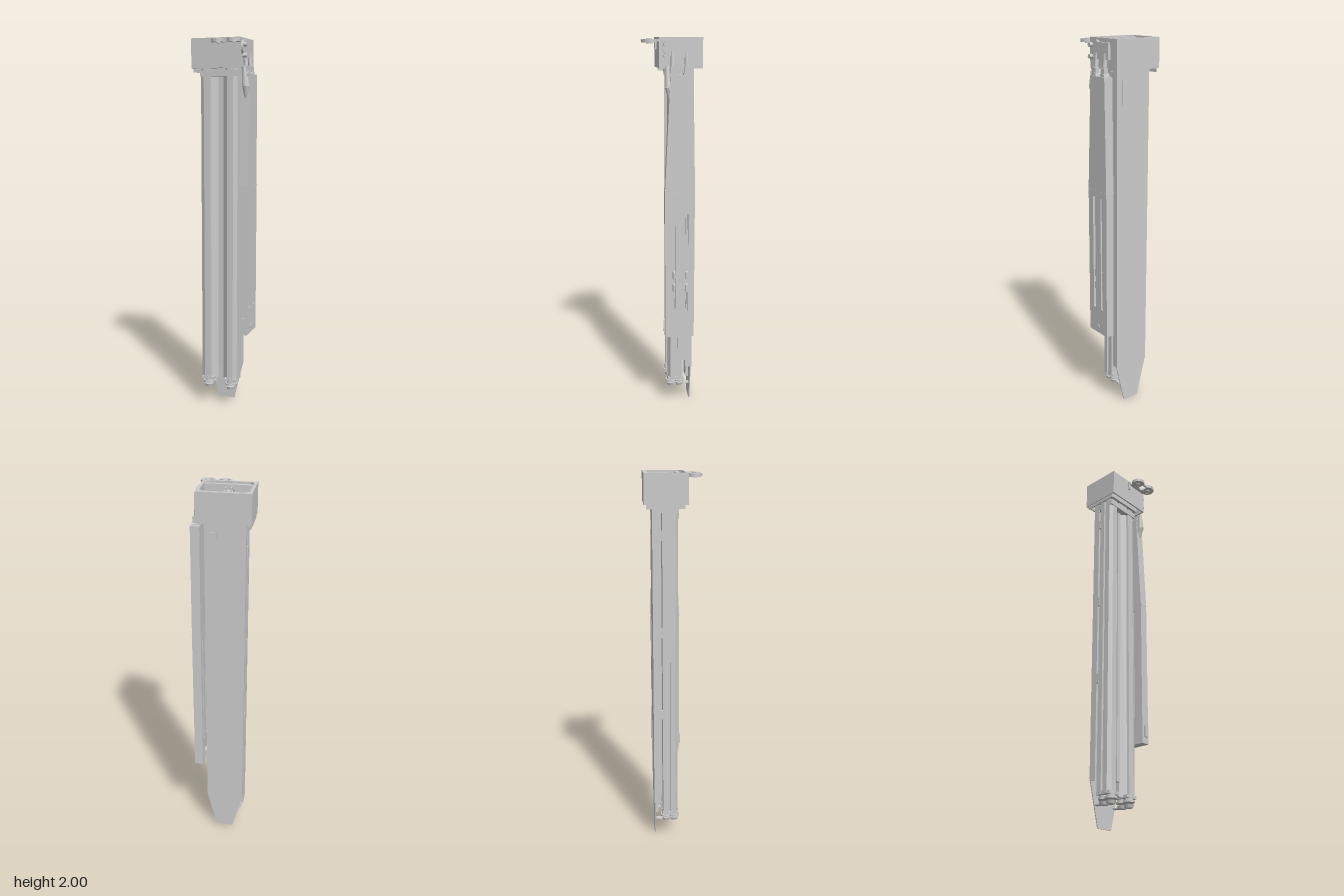
import * as THREE from 'three';

const mat = new THREE.MeshStandardMaterial({ color: 0xcccccc, flatShading: true, side: THREE.DoubleSide });
const CX = -0.021; // centre line of the mast

function add(parent, name, geo) {
  const m = new THREE.Mesh(geo, mat);
  m.name = name;
  parent.add(m);
  return m;
}
// box from min and max limits
function box(parent, name, x0, x1, y0, y1, z0, z1) {
  const m = add(parent, name, new THREE.BoxGeometry(x1 - x0, y1 - y0, z1 - z0));
  m.position.set((x0 + x1) / 2, (y0 + y1) / 2, (z0 + z1) / 2);
  return m;
}
// cylinder between two points
function rod(parent, name, a, b, r, r2 = r, seg = 16) {
  const A = new THREE.Vector3(...a), B = new THREE.Vector3(...b), d = B.clone().sub(A);
  const m = add(parent, name, new THREE.CylinderGeometry(r2, r, d.length(), seg));
  m.position.copy(A).add(B).multiplyScalar(0.5);
  m.quaternion.setFromUnitVectors(new THREE.Vector3(0, 1, 0), d.normalize());
  return m;
}
const poly = (pts, C = THREE.Shape) => new C(pts.map(p => new THREE.Vector2(...p)));
// [x, z] outline raised from y0 to y1
function raise(parent, name, pts, y0, y1, holes = []) {
  const flip = a => a.map(([x, z]) => [x, -z]);
  const s = poly(flip(pts));
  s.holes = holes.map(h => poly(flip(h), THREE.Path));
  const g = new THREE.ExtrudeGeometry(s, { depth: y1 - y0, bevelEnabled: false });
  return add(parent, name, g.rotateX(-Math.PI / 2).translate(0, y0, 0));
}
// [z, y] outline pushed from x0 to x1
function push(parent, name, pts, x0, x1, holes = []) {
  const flip = a => a.map(([z, y]) => [-z, y]);
  const s = poly(flip(pts));
  s.holes = holes.map(h => poly(flip(h), THREE.Path));
  const g = new THREE.ExtrudeGeometry(s, { depth: x1 - x0, bevelEnabled: false });
  return add(parent, name, g.rotateY(Math.PI / 2).translate(x0, 0, 0));
}
const rect = (a, b, c, d, k = 0) => k
  ? [[a + k, c], [b - k, c], [b, c + k], [b, d - k], [b - k, d], [a + k, d], [a, d - k], [a, c + k]]
  : [[a, c], [b, c], [b, d], [a, d]];
const arc = (cx, cy, r, a0, a1, n) => Array.from({ length: n + 1 }, (_, i) => {
  const a = a0 + (a1 - a0) * i / n;
  return [cx + r * Math.cos(a), cy + r * Math.sin(a)];
});

function buildHead() {
  const g = new THREE.Group();
  g.name = 'head';
  raise(g, 'headRim', rect(-0.152, 0.113, -0.151, 0.066), 1.985, 2, [rect(-0.137, 0.099, -0.131, 0.053, 0.018)]);
  raise(g, 'headWalls', rect(-0.152, 0.113, -0.151, 0.066), 1.85, 1.985, [rect(-0.144, 0.105, -0.143, 0.058)]);
  box(g, 'headFloor', -0.122, 0.082, 1.85, 1.88, -0.115, 0.034);
  box(g, 'crossBar', -0.137, 0.1, 1.97, 1.995, 0.014, 0.032);
  // mechanism inside the frame
  box(g, 'centrePlate', -0.076, 0.038, 1.95, 1.965, -0.107, -0.014);
  box(g, 'centreBlock', -0.065, 0.027, 1.88, 1.95, -0.1, -0.02);
  rod(g, 'centreDisc', [CX, 1.965, -0.062], [CX, 1.972, -0.062], 0.032, 0.032, 32);
  box(g, 'rearBar', -0.1, 0.06, 1.95, 1.975, -0.115, -0.104);
  for (const s of [-1, 1]) {
    const x = d => CX + s * d;
    rod(g, 'strut', [x(0.07), 1.95, -0.1], [x(0.1), 1.93, -0.03], 0.009);
    rod(g, 'damper', [x(0.065), 1.94, -0.075], [x(0.09), 1.92, -0.025], 0.013);
    rod(g, 'pivotPost', [x(0.068), 1.88, -0.1], [x(0.068), 1.97, -0.1], 0.008);
    box(g, 'sideRib', x(0.085) - 0.006, x(0.085) + 0.006, 1.88, 1.94, -0.11, 0.03);
    raise(g, 'frontLink', rect(x(0.065) - 0.026, x(0.065) + 0.026, -0.009, 0.011, 0.008), 1.93, 1.945);
    box(g, 'hingeCheek', x(0.013) - 0.004, x(0.013) + 0.004, 1.93, 1.985, -0.012, 0.05);
    for (const z of [-0.085, -0.035]) box(g, 'plateRib', x(0.045) - 0.01, x(0.045) + 0.01, 1.965, 1.969, z - 0.003, z + 0.003);
  }
  for (const z of [0, 0.045]) rod(g, 'hingePin', [CX - 0.02, 1.965, z], [CX + 0.02, 1.965, z], 0.008);
  box(g, 'headTab', -0.148, -0.142, 1.83, 1.85, -0.14, 0.05);
  return g;
}

function buildCarrier() {
  const g = new THREE.Group();
  g.name = 'ringCarrier';
  box(g, 'carrierBracket', 0.004, 0.106, 1.978, 1.99, 0.066, 0.082);
  box(g, 'carrierBridge', 0.03, 0.08, 1.976, 1.986, 0.12, 0.13);
  // two clamp rings, open towards each other
  for (const [x, dir] of [[0.013, 0], [0.097, Math.PI]]) {
    const a = dir + 0.5, b = dir + Math.PI * 2 - 0.5;
    raise(g, 'clampRing', [...arc(x, 0.11, 0.036, a, b, 24), ...arc(x, 0.11, 0.021, b, a, 24)], 1.973, 1.99);
    rod(g, 'clampHub', [x, 1.968, 0.11], [x, 1.992, 0.11], 0.012);
    raise(g, 'clampSeat', arc(x, 0.11, 0.026, 0, Math.PI * 2, 20), 1.974, 1.979);
    for (const t of [Math.PI / 2, dir + Math.PI]) {
      const c = Math.cos(t), s = Math.sin(t);
      rod(g, 'clampScrew', [x + c * 0.02, 1.985, 0.11 + s * 0.02], [x + c * 0.038, 1.985, 0.11 + s * 0.038], 0.004, 0.004, 8);
    }
  }
  box(g, 'carrierStem', -0.028, -0.016, 1.94, 1.985, 0.064, 0.074);
  box(g, 'carrierArm', -0.028, 0.01, 1.98, 1.99, 0.064, 0.076);
  return g;
}

function buildSidePanel() {
  const g = new THREE.Group();
  g.name = 'sidePanel';
  const outline = [[-0.112, 0.435], [0.042, 0.435], [0.042, 1.24], [0.014, 1.82], [-0.1, 1.82], [-0.112, 1.24]];
  const inner = [[-0.104, 0.443], [0.034, 0.443], [0.034, 1.24], [0.007, 1.812], [-0.093, 1.812], [-0.104, 1.24]];
  const slots = [-0.005, -0.07].map(z => rect(z - 0.009, z + 0.009, 0.58, 1.21, 0.006));
  push(g, 'outerSkin', outline, 0.142, 0.15, slots);
  push(g, 'panelRim', outline, 0.104, 0.142, [inner]);
  push(g, 'innerSkin', outline, 0.104, 0.108, slots);
  box(g, 'panelSeam', 0.103, 0.151, 1.236, 1.242, -0.113, 0.043);
  for (const z of [-0.005, -0.07]) {
    for (const y of [0.71, 0.78]) box(g, 'slotCatch', 0.12, 0.147, y - 0.02, y + 0.02, z - 0.011, z + 0.004);
  }
  rod(g, 'panelBolt', [0.145, 0.47, -0.035], [0.153, 0.47, -0.035], 0.014);
  box(g, 'lowerLatch', 0.118, 0.142, 0.47, 0.53, 0.04, 0.05);
  box(g, 'lowerBracket', 0.078, 0.108, 0.45, 0.5, -0.07, -0.03);
  // swing arm that carries the panel from the head
  rod(g, 'armDisc', [0.112, 1.95, 0.01], [0.124, 1.95, 0.01], 0.04, 0.04, 28);
  box(g, 'armBase', 0.112, 0.126, 1.9, 1.98, -0.1, 0);
  for (const y of [1.91, 1.965]) rod(g, 'armKnob', [0.12, y, 0.035], [0.142, y, 0.035], 0.011);
  for (const z of [-0.07, 0]) {
    rod(g, 'armLink', [0.118, 1.93, z], [0.13, 1.8, z], 0.011);
    rod(g, 'armJoint', [0.108, 1.82, z], [0.142, 1.82, z], 0.018);
    box(g, 'armCap', 0.115, 0.14, 1.8, 1.86, z - 0.014, z + 0.014);
  }
  rod(g, 'frontArm', [0.123, 1.86, 0.028], [0.13, 1.76, 0.022], 0.009, 0.02);
  rod(g, 'frontArmTip', [0.13, 1.76, 0.022], [0.13, 1.7, 0.014], 0.018, 0.008);
  return g;
}

function buildMast() {
  const g = new THREE.Group();
  g.name = 'mast';
  // back panel with a tapered tongue at the foot
  box(g, 'backPanel', -0.122, 0.08, 0.22, 1.85, -0.111, -0.103);
  const tongue = new THREE.ExtrudeGeometry(poly([[-0.122, 0.22], [-0.066, 0], [0.028, 0], [0.08, 0.22]]),
    { depth: 0.005, bevelEnabled: false });
  add(g, 'tongue', tongue.translate(0, 0, -0.108));
  box(g, 'spine', CX - 0.011, CX + 0.011, 0.22, 1.85, -0.1, -0.01);
  box(g, 'spineFoot', CX - 0.042, CX + 0.042, 0.13, 0.22, -0.1, -0.085);
  box(g, 'topBlock', CX - 0.034, CX + 0.034, 1.81, 1.85, -0.03, 0.02);
  box(g, 'backPlate', 0.02, 0.05, 1.68, 1.8, -0.114, -0.11);
  for (const s of [-1, 1]) {
    const x = d => CX + s * d;
    box(g, 'panelFlange', Math.min(x(0.097), x(0.101)), Math.max(x(0.097), x(0.101)), 0.22, 1.85, -0.105, -0.075);
    // grooved rail with chamfered front
    const rail = [[0.013, -0.02], [0.045, 0.005], [0.048, 0.018], [0.082, 0.018], [0.102, 0.006], [0.102, -0.02],
      [0.09, -0.02], [0.09, -0.034], [0.102, -0.034], [0.102, -0.062], [0.013, -0.062]];
    raise(g, 'rail', rail.map(([d, z]) => [x(d), z]), 0.15, 1.85);
    // foot of each rail
    const fx = x(0.065);
    for (const z of [0, -0.045]) {
      rod(g, 'footCup', [fx, 0.125, z], [fx, 0.165, z], 0.022);
      rod(g, 'footFlange', [fx, 0.125, z], [fx, 0.135, z], 0.03);
      rod(g, 'footPad', [fx, 0.1, z], [fx, 0.116, z], 0.02, 0.025);
    }
    box(g, 'footCollar', fx - 0.035, fx + 0.035, 0.145, 0.16, -0.065, 0.02);
    box(g, 'footLink', fx - 0.012, fx + 0.012, 0.104, 0.11, -0.1, 0);
    // hooks on the outer side of the rails
    for (const y of [0.75, 1.2, 1.7]) {
      box(g, 'railClip', x(0.1) - 0.005, x(0.1) + 0.005, y - 0.025, y + 0.025, -0.075, -0.058);
    }
    for (const z of [-0.07, 0.01]) box(g, 'topCollar', fx - 0.036, fx + 0.036, 1.81, 1.84, z - 0.018, z + 0.012);
  }
  return g;
}

export function createModel() {
  const model = new THREE.Group();
  model.name = 'foldedMast';
  model.add(buildHead(), buildCarrier(), buildSidePanel(), buildMast());
  return model;
}
